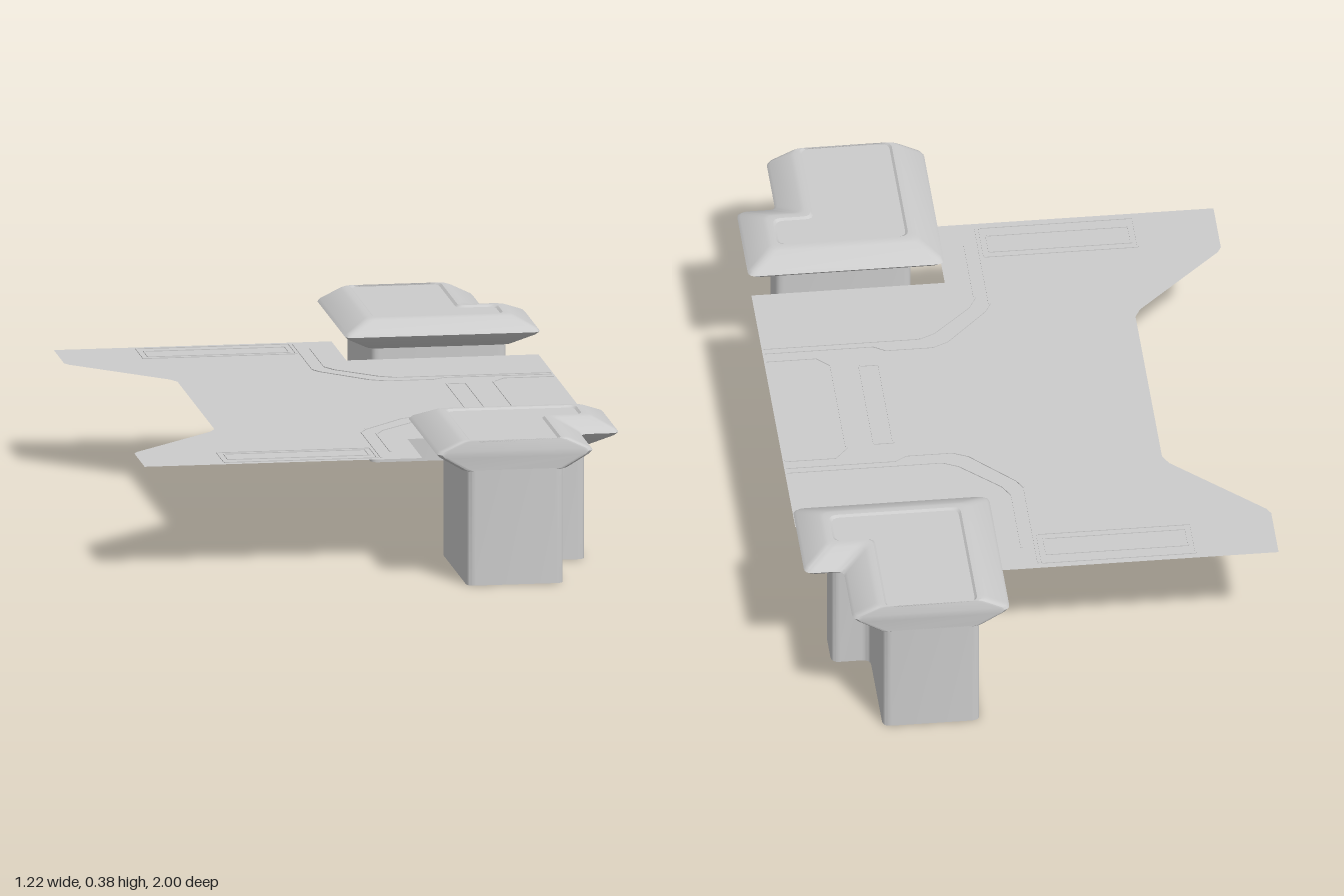
import * as THREE from 'three';
import { toCreasedNormals } from 'three/addons/utils/BufferGeometryUtils.js';

const FLOOR_Y = 0.285;
const material = new THREE.MeshStandardMaterial({ color: 0xcccccc, side: THREE.DoubleSide });

function addMesh(parent, name, geometry) {
  const mesh = new THREE.Mesh(geometry, material);
  mesh.name = name;
  parent.add(mesh);
  return mesh;
}

// Horizontal flat face from [x, z] points
function flatFace(points, y) {
  const shape = new THREE.Shape(points.map(([x, z]) => new THREE.Vector2(x, -z)));
  return new THREE.ShapeGeometry(shape).rotateX(-Math.PI / 2).translate(0, y, 0);
}

// L-shaped tower outline grown by o; the outer end stays flush at z = 1
function outline(o, side) {
  const a = 0.185 - o, b = 0.435 + o, c = 0.535 + o, z0 = 0.585 - o, z1 = 0.71 + o;
  const corners = [[a, z0], [c, z0], [c, z1], [b, z1], [b, 1], [a, 1]]
    .map(([x, z]) => new THREE.Vector2(x, z));
  const points = [];
  corners.forEach((p, i) => {
    const toward = (q) => p.clone().add(q.clone().sub(p).setLength(0.022));
    const before = toward(corners[(i + 5) % 6]), after = toward(corners[(i + 1) % 6]);
    const bend = new THREE.QuadraticBezierCurve(before, p, after);
    bend.getPoints(4).forEach((v) => points.push([v.x, v.y * side]));
  });
  return side > 0 ? points : points.reverse();
}

// Skin through outlines given as [growth, height] steps
function loft(steps, side) {
  const positions = [], indices = [];
  let n = 0;
  for (const [o, y] of steps) {
    const ring = outline(o, side);
    n = ring.length;
    ring.forEach(([x, z]) => positions.push(x, y, z));
  }
  for (let r = 0; r < steps.length - 1; r++) {
    for (let i = 0; i < n; i++) {
      const p = r * n + i, q = r * n + (i + 1) % n;
      indices.push(p, p + n, q, q, p + n, q + n);
    }
  }
  const geometry = new THREE.BufferGeometry();
  geometry.setAttribute('position', new THREE.Float32BufferAttribute(positions, 3));
  geometry.setIndex(indices);
  return toCreasedNormals(geometry, 0.5);
}

function createTower(side) {
  const tower = new THREE.Group();
  tower.name = side > 0 ? 'frontTower' : 'backTower';
  // Hollow leg, open at the bottom
  addMesh(tower, 'towerLeg', loft([[0, 0], [0, 0.3]], side));
  // Flared cap with a shallow recessed top
  addMesh(tower, 'towerCap', loft([
    [0, 0.297], [0.012, 0.3], [0.068, 0.333], [0.077, 0.342], [0.07, 0.35],
    [0.018, 0.375], [0.008, 0.378], [-0.006, 0.378], [-0.012, 0.373],
  ], side));
  addMesh(tower, 'capTop', flatFace(outline(-0.012, side), 0.373));
  return tower;
}

// Thin raised seam along [x, z] points
function addSeam(parent, name, points, width = 0.005) {
  const seam = new THREE.Group();
  seam.name = name;
  for (let i = 0; i < points.length - 1; i++) {
    const [x0, z0] = points[i], [x1, z1] = points[i + 1];
    const dx = x1 - x0, dz = z1 - z0;
    const strip = addMesh(seam, name + 'Strip',
      new THREE.BoxGeometry(Math.hypot(dx, dz), 0.002, width));
    strip.position.set((x0 + x1) / 2, FLOOR_Y + 0.001, (z0 + z1) / 2);
    strip.rotation.y = -Math.atan2(dz, dx);
  }
  parent.add(seam);
}

const rect = (x0, x1, z0, z1) => [[x0, z0], [x1, z0], [x1, z1], [x0, z1], [x0, z0]];

export function createModel() {
  const model = new THREE.Group();
  model.name = 'platform';

  // Floor sheet, symmetric about z = 0
  const half = [[0.605, 0.505], [0.108, 0.505], [0.108, 0.75], [-0.61, 0.75],
    [-0.61, 0.58], [-0.6, 0.56], [-0.375, 0.335], [-0.36, 0.305]];
  const mirrored = half.map(([x, z]) => [x, -z]).reverse();
  addMesh(model, 'floorSheet', flatFace([...half, ...mirrored], FLOOR_Y));

  for (const side of [1, -1]) {
    model.add(createTower(side));
    const flip = (points) => points.map(([x, z]) => [x, z * side]);

    // End hatch frames
    addSeam(model, 'hatchFrame', flip(rect(-0.4, -0.005, 0.605, 0.73)));
    addSeam(model, 'hatchInset', flip(rect(-0.385, -0.02, 0.625, 0.695)));

    // Paired seams turning in towards the middle
    addSeam(model, 'outerSeam', flip([[0.005, 0.73], [0.005, 0.4], [0.02, 0.37],
      [0.13, 0.25], [0.17, 0.23], [0.29, 0.23], [0.32, 0.25], [0.6, 0.25]]));
    addSeam(model, 'innerSeam', flip([[0.04, 0.66], [0.04, 0.43], [0.06, 0.39],
      [0.16, 0.29], [0.2, 0.27], [0.6, 0.27]]));

    // Small flush plate near the notch
    addMesh(model, 'notchPlate',
      flatFace(rect(-0.385, -0.355, 0.36, 0.48).slice(0, 4).map(([x, z]) => [x, z * side]),
        FLOOR_Y + 0.001));
  }

  // Centre slot and edge bay
  addSeam(model, 'centreSlot', rect(0.315, 0.365, -0.17, 0.17));
  addSeam(model, 'edgeBay', [[0.6, -0.22], [0.47, -0.22], [0.437, -0.18],
    [0.437, 0.18], [0.47, 0.215], [0.6, 0.215]]);

  return model;
}
